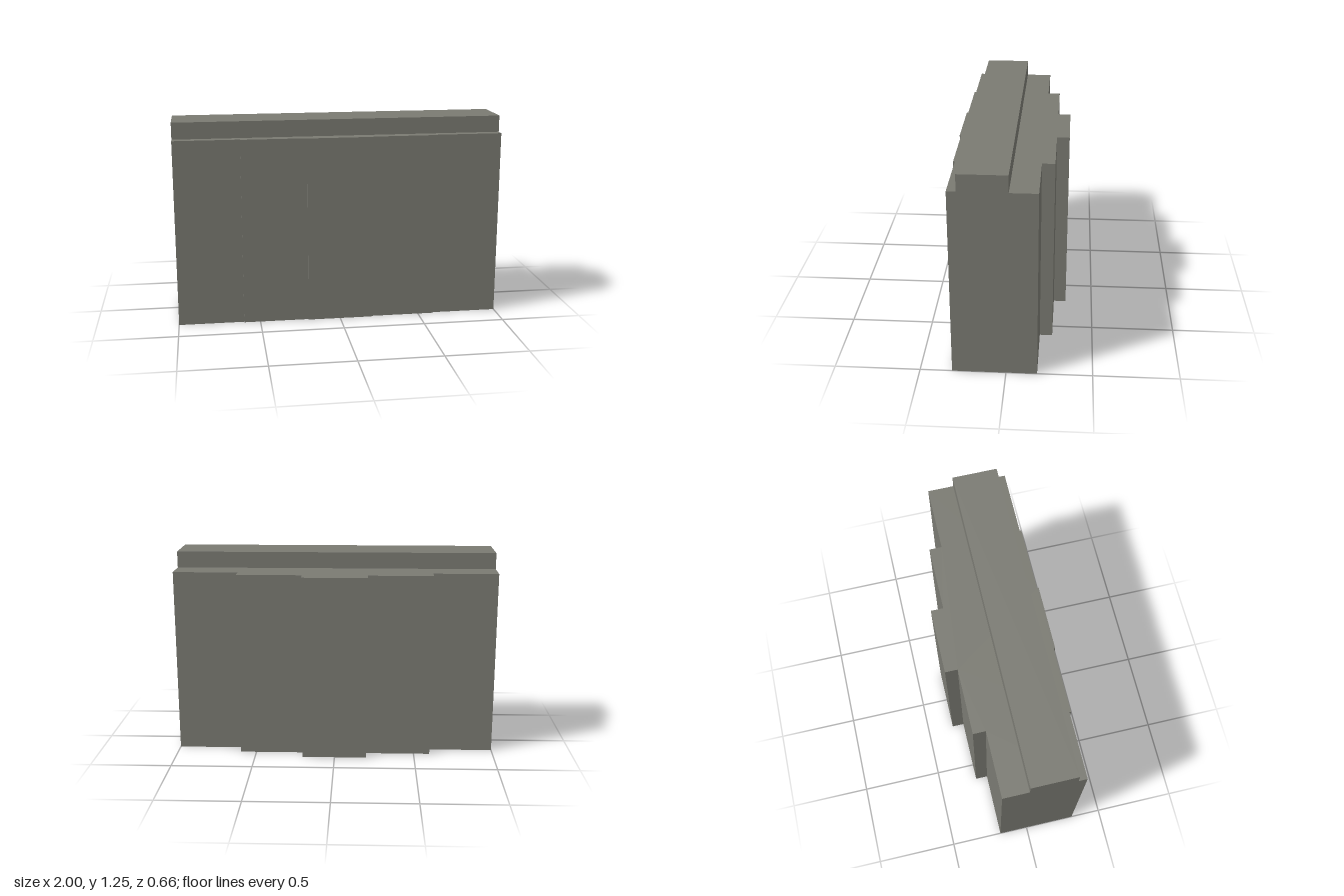
import * as THREE from 'three';

const BODY_HEIGHT = 1.147;
const TOTAL_HEIGHT = 1.248;

// Half of the stepped plan, from the middle bay outwards
const BAYS = [
  { outerX: 0.2, front: 0.332, back: -0.332 },
  { outerX: 0.6, front: 0.323, back: -0.256 },
  { outerX: 1.0, front: 0.313, back: -0.18 },
];

// Stepped edge along one face, running from -x to +x
function steppedEdge(side) {
  const right = [];
  let innerX = 0;
  for (const bay of BAYS) {
    if (innerX > 0) right.push([innerX, bay[side]]);
    right.push([bay.outerX, bay[side]]);
    innerX = bay.outerX;
  }
  const left = right.map(([x, z]) => [-x, z]).reverse();
  return [...left, ...right];
}

export function createModel() {
  const model = new THREE.Group();
  model.name = 'steppedBlock';
  const stone = new THREE.MeshStandardMaterial({ color: 0x7a7a72 });
  stone.name = 'greyStone';

  // Body: five-bay plan raised as a single solid (shape y is -z)
  const outline = [...steppedEdge('front'), ...steppedEdge('back').reverse()];
  const plan = new THREE.Shape(outline.map(([x, z]) => new THREE.Vector2(x, -z)));
  const bodyGeometry = new THREE.ExtrudeGeometry(plan, { depth: BODY_HEIGHT, bevelEnabled: false });
  bodyGeometry.rotateX(-Math.PI / 2);
  const body = new THREE.Mesh(bodyGeometry, stone);
  body.name = 'steppedBody';
  model.add(body);

  // Raised bar along the full length of the top
  const ridgeHeight = TOTAL_HEIGHT - BODY_HEIGHT;
  const ridge = new THREE.Mesh(new THREE.BoxGeometry(2, ridgeHeight, 0.28), stone);
  ridge.name = 'topRidge';
  ridge.position.set(0, BODY_HEIGHT + ridgeHeight / 2, 0.12);
  model.add(ridge);

  return model;
}
